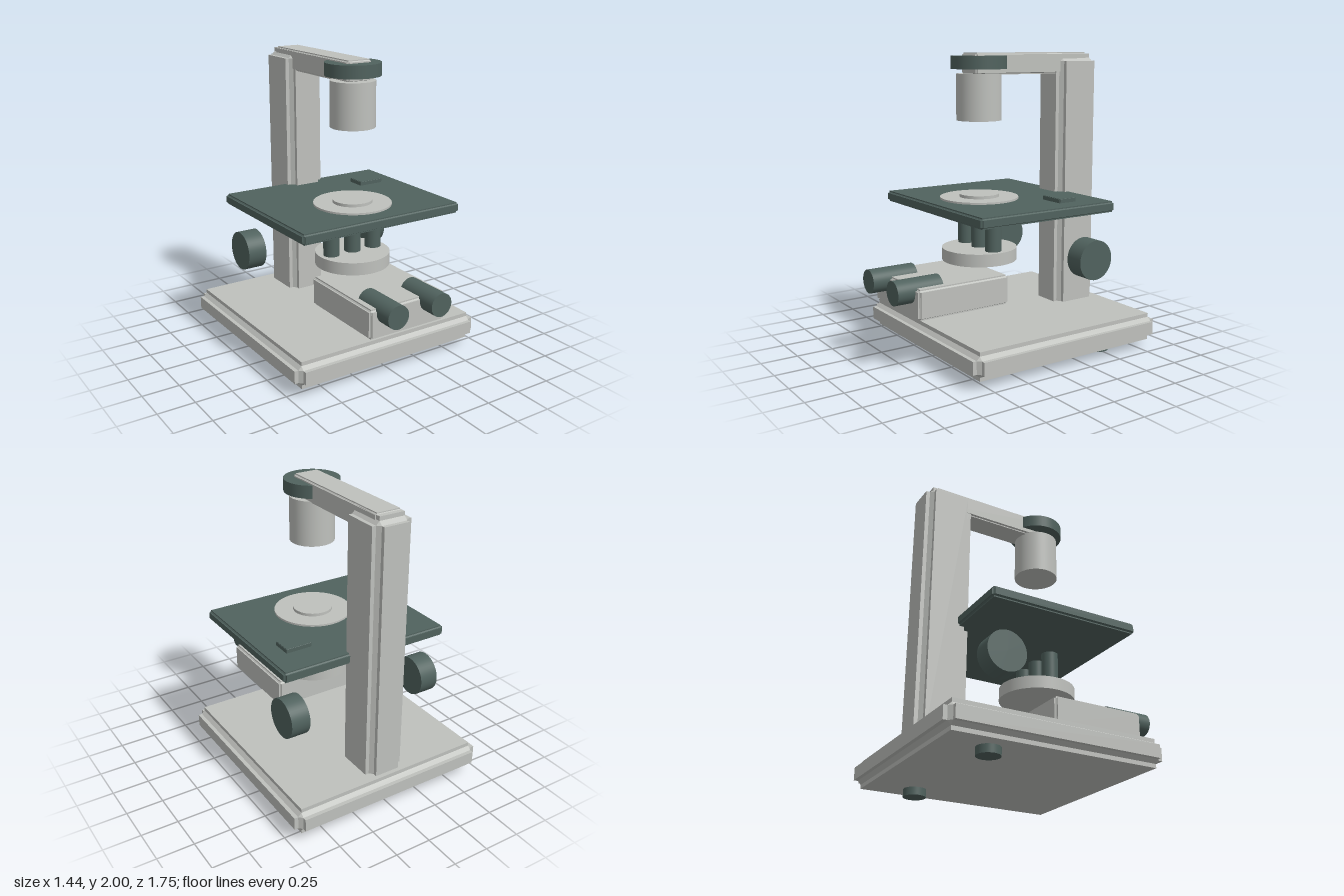
import * as THREE from 'three';
import { mergeGeometries } from 'three/addons/utils/BufferGeometryUtils.js';
import { ConvexGeometry } from 'three/addons/geometries/ConvexGeometry.js';

// Box with raised face plates over a chamfered core; r is the step at each edge.
function steppedBox(w, h, d, r) {
  const [a, b, c] = [w / 2 - r, h / 2 - r, d / 2 - r];
  const k = r * 0.47;
  const points = [];
  for (const x of [-1, 1]) for (const y of [-1, 1]) for (const z of [-1, 1]) {
    points.push(
      new THREE.Vector3(x * (a + k), y * b, z * c),
      new THREE.Vector3(x * a, y * (b + k), z * c),
      new THREE.Vector3(x * a, y * b, z * (c + k))
    );
  }
  const plates = [
    new THREE.BoxGeometry(w, 2 * b, 2 * c),
    new THREE.BoxGeometry(2 * a, h, 2 * c),
    new THREE.BoxGeometry(2 * a, 2 * b, d)
  ].map((g) => g.toNonIndexed());
  plates.forEach((g) => g.deleteAttribute('uv'));
  return mergeGeometries([new ConvexGeometry(points), ...plates]);
}

export function createModel() {
  const model = new THREE.Group();
  model.name = 'microscope';

  const light = new THREE.MeshStandardMaterial({ color: 0xbfc1bd });
  light.name = 'light grey';
  const dark = new THREE.MeshStandardMaterial({ color: 0x50625e });
  dark.name = 'dark slate';

  function add(name, geometry, material, x, y, z) {
    const mesh = new THREE.Mesh(geometry, material);
    mesh.name = name;
    mesh.position.set(x, y, z);
    model.add(mesh);
    return mesh;
  }

  // Box given by its min and max extents
  function box(name, material, [x0, x1], [y0, y1], [z0, z1], r) {
    return add(name, steppedBox(x1 - x0, y1 - y0, z1 - z0, r), material,
      (x0 + x1) / 2, (y0 + y1) / 2, (z0 + z1) / 2);
  }

  // Upright cylinder between two heights
  function disc(name, material, radius, y0, y1, x, z) {
    return add(name, new THREE.CylinderGeometry(radius, radius, y1 - y0, 48), material,
      x, (y0 + y1) / 2, z);
  }

  const axisZ = 0.12; // optical axis

  // Stand
  box('base', light, [-0.718, 0.718], [0.052, 0.238], [-0.873, 0.603], 0.05);
  box('column', light, [-0.138, 0.138], [0.12, 1.99], [-0.795, -0.455], 0.05);
  box('arm', light, [-0.093, 0.093], [1.857, 2], [-0.72, 0.2], 0.012);

  // Lamp head
  disc('lampHead', light, 0.15, 1.56, 1.865, 0, axisZ);
  disc('lampCap', dark, 0.185, 1.895, 1.98, 0, axisZ);

  // Stage
  box('stage', dark, [-0.61, 0.61], [0.965, 1.037], [-0.55, 0.5], 0.014);
  disc('stageRing', light, 0.263, 1.03, 1.05, 0, axisZ);
  disc('stageInsert', light, 0.134, 1.04, 1.07, 0, axisZ);
  box('stageClip', dark, [0.287, 0.47], [1.03, 1.065], [-0.332, -0.198], 0.003);

  // Objective turret
  disc('turret', light, 0.254, 0.62, 0.705, 0, axisZ);
  for (const x of [-0.168, 0, 0.168]) {
    disc('objective', dark, 0.055, 0.69, 0.9, x, axisZ);
  }

  // Viewing body
  box('viewingBody', light, [-0.295, 0.295], [0.362, 0.562], [0.08, 0.755], 0.016);

  // Mirrored pairs: eyepieces, focus knobs and rear feet
  for (const [side, s] of [['left', 1], ['right', -1]]) {
    disc(side + 'Eyepiece', dark, 0.079, 0, 0.323, s * 0.168, 0.711).rotation.x = Math.PI / 2;
    model.children.at(-1).position.y = 0.533;
    disc(side + 'FocusKnob', dark, 0.134, 0, 0.133, s * 0.505, -0.428).rotation.z = Math.PI / 2;
    model.children.at(-1).position.y = 0.645;
    disc(side + 'Foot', dark, 0.075, 0, 0.06, s * 0.507, -0.51);
  }

  return model;
}
